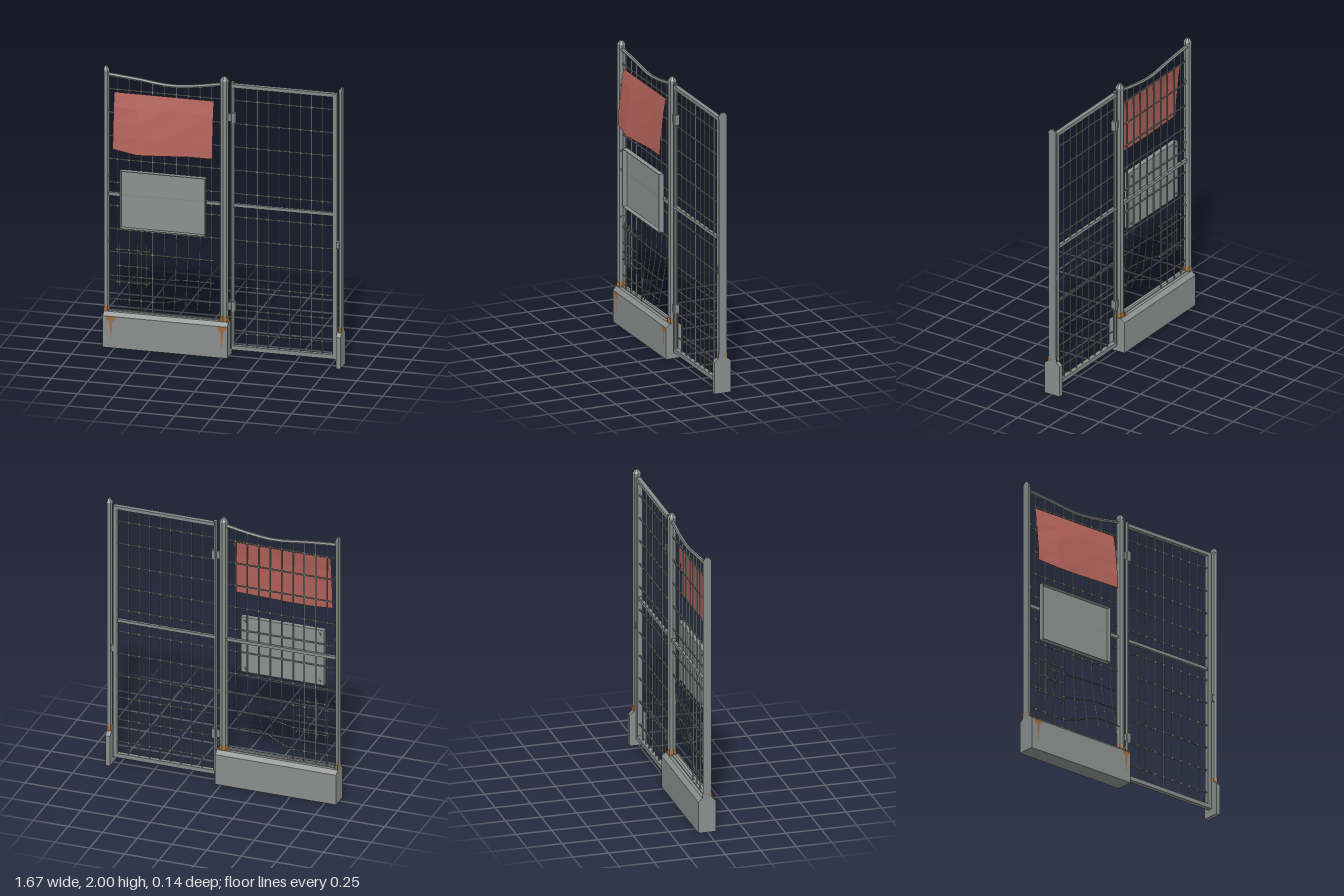
import * as THREE from 'three';

const mat = (name, color, double) => {
  const m = new THREE.MeshStandardMaterial({ color });
  m.name = name;
  if (double) m.side = THREE.DoubleSide;
  return m;
};

export function createModel() {
  const root = new THREE.Group();
  root.name = 'damagedFence';
  const steel = mat('steelGrey', 0x858a89);
  const concrete = mat('concreteGrey', 0x8a8e8d);
  const wire = mat('wireGrey', 0x7e8382);
  const plate = mat('plateGrey', 0x8b908f);
  const rust = mat('rustBrown', 0x9c6d3e, true);
  const cloth = mat('fadedRed', 0xb4635b, true);
  const Z = -0.004; // plane of posts and wires
  const V = (x, y, z = Z) => new THREE.Vector3(x, y, z);

  const add = (parent, name, geo, material, x = 0, y = 0, z = 0) => {
    const flat = geo.index ? geo.toNonIndexed() : geo;
    flat.computeVertexNormals();
    const m = new THREE.Mesh(flat, material);
    m.name = name;
    m.position.set(x, y, z);
    parent.add(m);
    return m;
  };
  const group = (name) => {
    const g = new THREE.Group();
    g.name = name;
    root.add(g);
    return g;
  };
  // box given by its limits
  const box = (parent, name, material, x0, x1, y0, y1, z0, z1) =>
    add(parent, name, new THREE.BoxGeometry(x1 - x0, y1 - y0, z1 - z0), material,
      (x0 + x1) / 2, (y0 + y1) / 2, (z0 + z1) / 2);
  // straight bar between two points, square by default
  const bar = (parent, name, material, a, b, r = 0.0056, sides = 4) => {
    const d = b.clone().sub(a);
    const m = add(parent, name, new THREE.CylinderGeometry(r, r, d.length(), sides, 1, false, Math.PI / sides), material);
    m.position.copy(a).add(b).multiplyScalar(0.5);
    m.quaternion.setFromUnitVectors(V(0, 1, 0), d.normalize());
    return m;
  };
  // bent bar through points
  const bent = (parent, name, material, pts, r = 0.0048, sides = 4, steps = 8) =>
    add(parent, name, new THREE.TubeGeometry(new THREE.CatmullRomCurve3(pts), steps, r, sides), material);

  // Concrete plinths with chamfered tops
  const profile = [[0.058, 0], [0.058, 0.225], [0.03, 0.25], [-0.036, 0.25], [-0.066, 0.225], [-0.066, 0]];
  const plinth = (name, x0, x1) => {
    const s = new THREE.Shape(profile.map(([z, y]) => new THREE.Vector2(-z, y)));
    const g = new THREE.ExtrudeGeometry(s, { depth: x1 - x0, bevelEnabled: false });
    g.rotateY(Math.PI / 2);
    add(root, name, g, concrete, x0);
  };
  plinth('longPlinth', -0.833, 0.04);
  plinth('endPlinth', 0.8, 0.833);

  // Octagonal posts; the outer two are half posts closed by a flat face
  const post = (name, x, start, span) => {
    const g = group(name);
    const n = Math.round(span / (Math.PI / 4));
    const part = (label, material, r0, r1, y0, y1) => {
      add(g, label, new THREE.CylinderGeometry(r1, r0, y1 - y0, n, 1, false, start, span), material,
        x, (y0 + y1) / 2, Z);
      if (n < 8) {
        const cut = new THREE.ExtrudeGeometry(new THREE.Shape([
          new THREE.Vector2(-r0, y0), new THREE.Vector2(r0, y0),
          new THREE.Vector2(r1, y1), new THREE.Vector2(-r1, y1)]), { depth: 0.001, bevelEnabled: false });
        cut.rotateY(Math.PI / 2);
        add(g, label + 'CutFace', cut, material, x - (x > 0 ? 0.001 : 0), 0, Z);
      }
    };
    part('shaft', steel, 0.03, 0.03, 0.25, 1.965);
    part('capRim', steel, 0.032, 0.032, 1.962, 1.975);
    part('capPeak', steel, 0.032, 0.014, 1.975, 2);
    part('rustCollar', rust, 0.036, 0.032, 0.25, 0.283);
  };
  post('leftEndPost', -0.833, 0, Math.PI);
  post('middlePost', 0.002, 0, Math.PI * 2);
  post('rightEndPost', 0.833, Math.PI, Math.PI);

  // Rust runs painted on the plinth front, and a stain on top beside the middle post
  const stains = group('rustStains');
  for (const [x, w, tip] of [[-0.775, 0.038, 0.055], [0.002, 0.035, 0.065]]) {
    const s = new THREE.Shape([[-w, 0.224], [-w * 0.8, 0.203], [-0.012, 0.188], [-0.006, 0.12], [0, tip],
      [0.005, 0.12], [0.011, 0.188], [w * 0.75, 0.203], [w, 0.224]].map(([a, b]) => new THREE.Vector2(a, b)));
    add(stains, 'rustRun', new THREE.ShapeGeometry(s), rust, x, 0, 0.0595);
  }
  box(stains, 'rustSpread', rust, -0.05, 0.032, 0.249, 0.252, -0.036, 0.005);

  // Fixed panel: sagging top rail, middle rail, bottom rail
  const panel = group('fixedPanel');
  const topCurve = [V(-0.82, 1.942), V(-0.6, 1.922), V(-0.37, 1.897), V(-0.175, 1.915), V(-0.01, 1.945)];
  bent(panel, 'saggingTopRail', steel, topCurve, 0.0135, 6, 10);
  box(panel, 'middleRail', steel, -0.82, -0.01, 1.074, 1.097, Z - 0.011, Z + 0.011);
  box(panel, 'bottomRail', steel, -0.82, 0, 0.24, 0.256, Z - 0.01, Z + 0.01);
  const railY = (x) => {
    const i = Math.max(1, topCurve.findIndex((p) => p.x >= x));
    const a = topCurve[i - 1], b = topCurve[i];
    return a.y + (b.y - a.y) * (x - a.x) / (b.x - a.x);
  };

  // Upright wires; the right-hand ones are torn loose and lean forward
  const looseEnds = [[0.27, 0.035], [0.31, 0.05], [0.33, 0.068], [0.33, 0.066], [0.33, 0.06]];
  for (let i = 0; i < 9; i++) {
    const x = -0.746 + i * 0.0826;
    if (i < 4) {
      bar(panel, 'uprightWire', wire, V(x, 0.25), V(x, railY(x)));
    } else {
      const [y, z] = looseEnds[i - 4];
      bar(panel, 'uprightWire', wire, V(x, 0.8), V(x, railY(x)));
      bent(panel, 'tornUprightWire', wire,
        [V(x, 0.8), V(x, 0.68, Z + z * 0.08), V(x, 0.52, Z + z * 0.45), V(x, y, z)]);
    }
  }
  // Cross wires; the lowest three are broken off on the right
  const rows = Array.from({ length: 11 }, (_, i) => 0.167 * (i + 1));
  for (const y of rows.slice(4)) bar(panel, 'crossWire', wire, V(-0.82, y), V(-0.01, y));
  const broken = [[0.333, 0.36, 0.39, 0.058], [0.5, 0.513, 0.523, 0.035], [0.67, 0.672, 0.674, 0.008]];
  for (const [y, yMid, yEnd, z] of broken) {
    bar(panel, 'brokenCrossWire', wire, V(-0.82, y), V(-0.49, y));
    bent(panel, 'bentCrossWire', wire, [V(-0.49, y), V(-0.43, y + (yMid - y) * 0.3, z * 0.25),
      V(-0.36, yMid, z * 0.6), V(-0.26, yEnd, z), V(-0.06, yEnd, z)]);
  }
  // Wire clips on the left post
  for (const y of [0.75, 1.22, 1.69]) box(panel, 'wireClip', steel, -0.806, -0.797, y - 0.005, y + 0.005, -0.012, 0.014);

  // Small mesh patch wired over a hole
  const patch = group('meshPatch');
  for (const x of [-0.725, -0.664, -0.6, -0.54]) bar(patch, 'patchUpright', wire, V(x, 0.43, 0.014), V(x, 0.737, 0.014));
  for (const y of [0.467, 0.583, 0.7]) {
    bar(patch, 'patchCrossWire', wire, V(-0.752, y, 0.021), V(-0.513, y, 0.021));
    if (y !== 0.583) for (const x of [-0.746, -0.519]) bar(patch, 'patchTie', wire, V(x, y, -0.012), V(x, y, 0.028));
  }

  // Shallow metal tray fixed to the panel
  const tray = group('metalPlate');
  const [tx0, tx1, ty0, ty1] = [-0.72, -0.119, 0.852, 1.268];
  box(tray, 'plateBack', plate, tx0, tx1, ty0, ty1, 0.003, 0.007);
  for (const x of [tx0, tx1 - 0.004]) box(tray, 'plateSideLip', plate, x, x + 0.004, ty0, ty1, 0.007, 0.04);
  for (const y of [ty0, ty1 - 0.004]) box(tray, 'plateEdgeLip', plate, tx0 + 0.004, tx1 - 0.004, y, y + 0.004, 0.007, 0.04);
  for (const x of [tx0 + 0.03, tx1 - 0.03]) for (const y of [ty0 + 0.03, ty1 - 0.03]) {
    const b = add(tray, 'plateBolt', new THREE.CylinderGeometry(0.009, 0.009, 0.008, 6), steel, x, y, 0);
    b.rotation.x = Math.PI / 2;
  }

  // Creased cloth sheet, hanging forward at its lower edge
  const sheet = new THREE.PlaneGeometry(1, 1, 4, 4);
  const hemZ = [0.05, 0.07, 0.06, 0.052, 0.056];
  const hemY = [1.424, 1.402, 1.408, 1.418, 1.42];
  const swing = [0, 0.36, 0.62, 0.84, 1];
  const p = sheet.attributes.position;
  for (let i = 0; i < p.count; i++) {
    const c = i % 5, r = Math.floor(i / 5);
    const crease = r > 0 && r < 4 ? ((c + r) % 2 ? 0.0015 : -0.0005) : 0;
    p.setXYZ(i, -0.765 + 0.699 * c / 4, 1.822 + (hemY[c] - 1.822) * r / 4, 0.01 + (hemZ[c] - 0.01) * swing[r] + crease);
  }
  add(root, 'clothSheet', sheet, cloth);

  // Gate: frame, middle rail and wire grid
  const gate = group('gate');
  const g0 = Z - 0.016, g1 = Z + 0.016;
  bar(gate, 'hingeStile', steel, V(0.061, 0.055), V(0.061, 1.968), 0.014, 8);
  box(gate, 'latchStile', steel, 0.766, 0.795, 0.05, 1.955, g0, g1);
  box(gate, 'gateTopRail', steel, 0.061, 0.766, 1.93, 1.955, g0, g1);
  box(gate, 'gateBottomRail', steel, 0.061, 0.766, 0.05, 0.08, g0, g1);
  box(gate, 'gateMiddleRail', steel, 0.061, 0.77, 1.075, 1.097, Z - 0.011, Z + 0.011);
  for (let i = 0; i < 8; i++) bar(gate, 'gateUprightWire', wire, V(0.158 + i * 0.0757, 0.07), V(0.158 + i * 0.0757, 1.94));
  for (const y of rows) bar(gate, 'gateCrossWire', wire, V(0.065, y), V(0.775, y));

  // Hinges and latch
  for (const y of [1.712, 0.358]) {
    box(gate, 'hingeLeaf', steel, 0.02, 0.058, y - 0.027, y + 0.027, Z - 0.008, Z + 0.008);
    box(gate, 'hingeBand', steel, 0.058, 0.083, y - 0.036, y + 0.036, Z - 0.017, Z + 0.017);
  }
  box(gate, 'latch', steel, 0.792, 0.815, 0.85, 0.897, Z - 0.018, Z + 0.03);

  return root;
}
